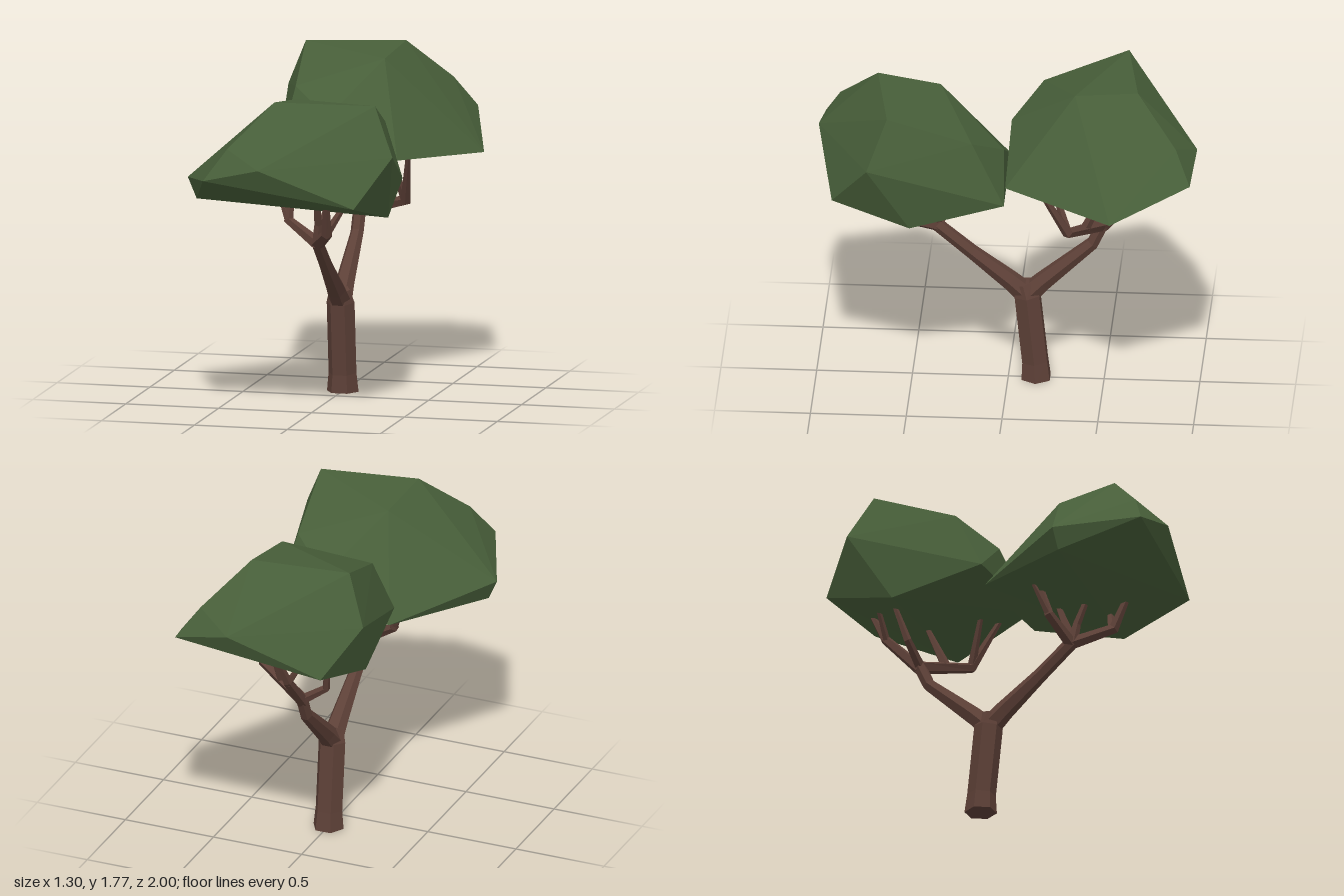
import * as THREE from 'three';
import { ConvexGeometry } from 'three/addons/geometries/ConvexGeometry.js';

const UP = new THREE.Vector3(0, 1, 0);

// Faceted tapering limb through [x, y, z, radius] stations, capped at both ends
function limbGeometry(stations, sides) {
  const centres = stations.map(([x, y, z]) => new THREE.Vector3(x, y, z));
  const last = centres.length - 1;
  const positions = [];
  const index = [];
  centres.forEach((c, i) => {
    const tangent = centres[Math.min(i + 1, last)].clone()
      .sub(centres[Math.max(i - 1, 0)]).normalize();
    const turn = new THREE.Quaternion().setFromUnitVectors(UP, tangent);
    for (let s = 0; s < sides; s++) {
      const a = (s / sides) * Math.PI * 2;
      const p = new THREE.Vector3(Math.cos(a), 0, Math.sin(a))
        .multiplyScalar(stations[i][3]).applyQuaternion(turn).add(c);
      positions.push(p.x, c.y === 0 ? 0 : p.y, p.z);
    }
  });
  for (let i = 0; i < last; i++) {
    for (let s = 0; s < sides; s++) {
      const a = i * sides + s;
      const b = i * sides + (s + 1) % sides;
      index.push(a, a + sides, b, b, a + sides, b + sides);
    }
  }
  const top = last * sides;
  for (let s = 1; s < sides - 1; s++) {
    index.push(0, s, s + 1, top, top + s + 1, top + s);
  }
  const indexed = new THREE.BufferGeometry();
  indexed.setAttribute('position', new THREE.Float32BufferAttribute(positions, 3));
  indexed.setIndex(index);
  const geometry = indexed.toNonIndexed();
  geometry.computeVertexNormals();
  return geometry;
}

export function createModel() {
  const model = new THREE.Group();
  model.name = 'tree';
  const bark = new THREE.MeshStandardMaterial({ color: 0x5d4037, flatShading: true });
  bark.name = 'bark brown';
  const leaf = new THREE.MeshStandardMaterial({ color: 0x475e39, flatShading: true });
  leaf.name = 'leaf green';

  const add = (name, geometry, material, parent = model) => {
    const mesh = new THREE.Mesh(geometry, material);
    mesh.name = name;
    parent.add(mesh);
    return mesh;
  };

  // Trunk and the two main limbs
  add('trunk', limbGeometry([
    [0, 0, -0.145, 0.085], [0, 0.1, -0.14, 0.075], [0, 0.48, -0.1, 0.075], [0, 0.55, -0.08, 0.055],
  ], 6), bark);
  add('frontLimb', limbGeometry([
    [0, 0.48, -0.1, 0.06], [0, 0.56, -0.01, 0.052], [0, 0.72, 0.19, 0.038], [0, 0.88, 0.38, 0.035],
  ], 6), bark);
  add('rearLimb', limbGeometry([
    [0, 0.48, -0.1, 0.06], [0, 0.56, -0.18, 0.052], [0, 0.79, -0.44, 0.035], [0, 0.92, -0.5, 0.035],
  ], 6), bark);

  // Twigs reaching up into the crowns
  const twigs = {
    front: [
      [[0, 0.87, 0.37, 0.035], [0.1, 0.96, 0.57, 0.03], [0.12, 1.18, 0.66, 0.014]],
      [[0.1, 0.97, 0.56, 0.024], [0.2, 1.14, 0.5, 0.012]],
      [[0, 0.87, 0.37, 0.035], [-0.17, 0.98, 0.32, 0.027], [-0.16, 1.18, 0.26, 0.014]],
      [[-0.17, 0.98, 0.32, 0.022], [-0.25, 1.15, 0.26, 0.01]],
      [[0, 0.87, 0.38, 0.03], [0.01, 0.98, 0.4, 0.022], [0.02, 1.18, 0.48, 0.012]],
      [[0, 0.88, 0.38, 0.028], [0.05, 1.14, 0.27, 0.014]],
    ],
    rear: [
      [[0, 0.9, -0.49, 0.036], [0.29, 0.99, -0.33, 0.03], [0.34, 1.25, -0.19, 0.014]],
      [[0.29, 0.99, -0.33, 0.025], [0.22, 1.26, -0.24, 0.013]],
      [[0.15, 0.95, -0.41, 0.028], [0.17, 1.23, -0.54, 0.012]],
      [[0, 0.89, -0.49, 0.034], [0, 1.1, -0.69, 0.026], [0.02, 1.27, -0.78, 0.014]],
      [[0, 1.08, -0.68, 0.02], [-0.1, 1.25, -0.69, 0.012]],
      [[0, 0.9, -0.49, 0.028], [-0.14, 1.0, -0.5, 0.022], [-0.18, 1.23, -0.57, 0.012]],
    ],
  };
  for (const [side, list] of Object.entries(twigs)) {
    const group = new THREE.Group();
    group.name = side + 'Twigs';
    list.forEach((t, i) => add(`${side}Twig${i + 1}`, limbGeometry(t, 5), bark, group));
    model.add(group);
  }

  // Crowns: one boulder-like hull, reused half-turned and raised for the rear
  const hull = [
    [-0.28, 1.16, 0.005], [0.36, 1.17, 0], [0.1, 1.37, 0.015], [0.31, 1.5, 0.17],
    [-0.12, 1.63, 0.36], [0.37, 1.66, 0.61], [-0.15, 1.67, 0.69], [0.49, 1.41, 0.71],
    [0.33, 1.16, 0.9], [-0.16, 1.36, 1.0], [-0.46, 1.29, 0.98], [-0.35, 1.45, 0.9],
    [-0.6, 1.12, 0.57], [0.41, 1.05, 0.49],
  ];
  const crown = (points) => new ConvexGeometry(points.map((p) => new THREE.Vector3(...p)));
  add('frontCrown', crown([...hull, [-0.65, 1.23, 0.56]]), leaf);
  const rear = add('rearCrown', crown(hull), leaf);
  rear.rotation.y = Math.PI;
  rear.position.set(0.05, 0.1, 0);

  return model;
}
